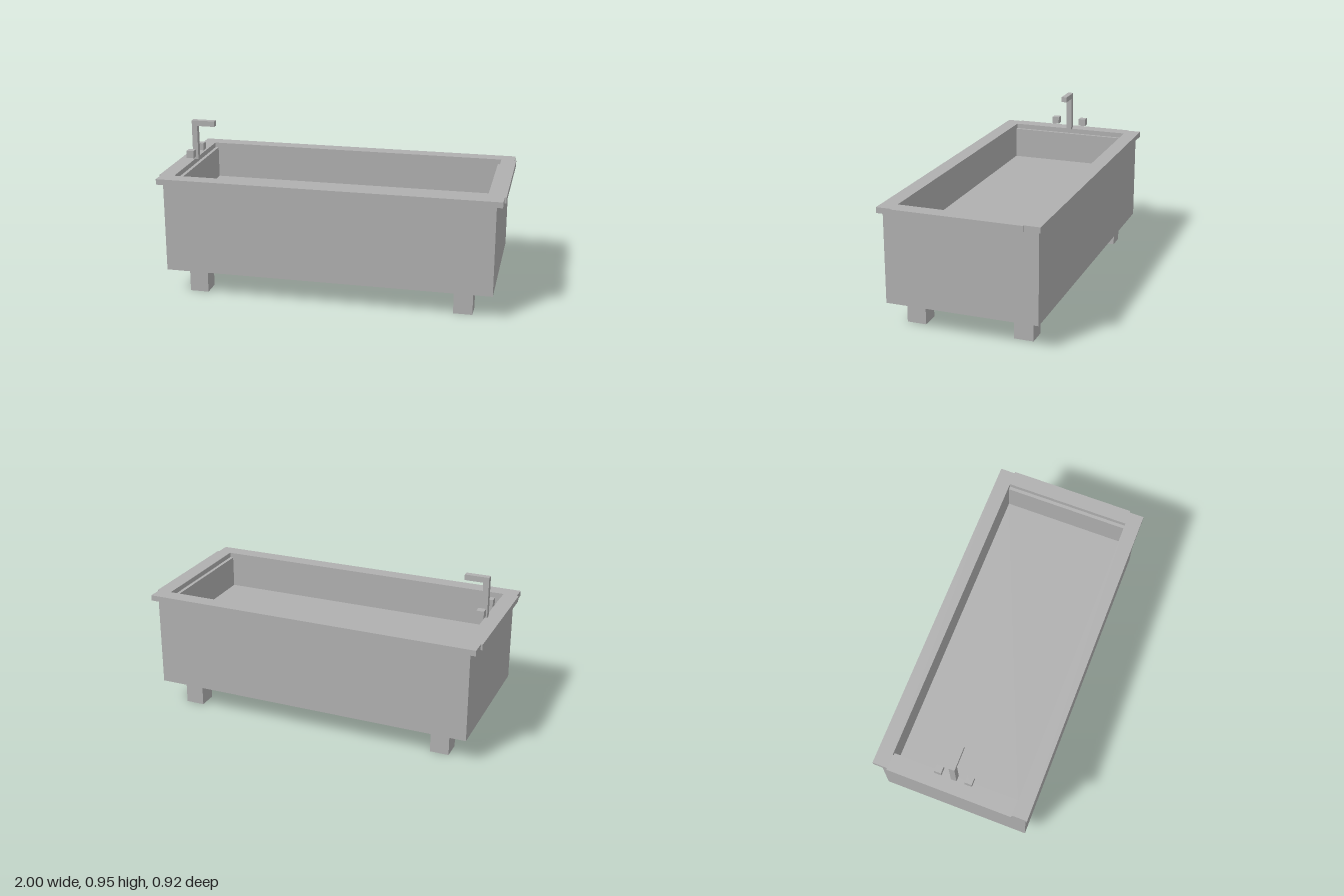
import * as THREE from 'three';

const grey = new THREE.MeshStandardMaterial({ color: 0xb0b0b0, side: THREE.DoubleSide });
grey.name = 'grey';

// Box given by its limits on each axis; hollow boxes have no underside
function box(name, [x0, x1], [y0, y1], [z0, z1], hollow = true) {
  const geometry = new THREE.BoxGeometry(x1 - x0, y1 - y0, z1 - z0);
  if (hollow) {
    const index = Array.from(geometry.index.array);
    index.splice(18, 6); // the downward face
    geometry.setIndex(index);
    geometry.clearGroups();
  }
  geometry.translate((x0 + x1) / 2, (y0 + y1) / 2, (z0 + z1) / 2);
  const mesh = new THREE.Mesh(geometry, grey);
  mesh.name = name;
  return mesh;
}

// Limits mirrored to the chosen side of an axis
const side = (s, a, b) => (s > 0 ? [a, b] : [-b, -a]);

export function createModel() {
  const tub = new THREE.Group();
  tub.name = 'bathtub';

  // Raised basin floor
  tub.add(box('basinFloor', [-0.89, 0.89], [0.15, 0.49], [-0.372, 0.372], false));

  for (const s of [-1, 1]) {
    // Long walls and end walls
    tub.add(box('sideWall', [-0.955, 0.955], [0.15, 0.68], side(s, 0.372, 0.44)));
    tub.add(box('endWall', side(s, 0.89, 0.955), [0.15, 0.68], [-0.372, 0.372]));

    // Overhanging rim
    tub.add(box('sideRim', [-0.99, 0.99], [0.677, 0.71], side(s, 0.372, 0.46)));
    tub.add(box('endRim', side(s, 0.91, 1), [0.677, 0.71], [-0.372, 0.372]));

    // Feet
    for (const t of [-1, 1]) {
      tub.add(box('foot', side(s, 0.73, 0.84), [0, 0.15], side(t, 0.26, 0.372)));
    }

    // Tap handles
    tub.add(box('tapHandle', [-0.927, -0.883], [0.743, 0.787], side(s, 0.069, 0.112)));
  }

  // Tap
  tub.add(box('tapColumn', [-0.921, -0.888], [0.71, 0.918], [-0.017, 0.017]));
  tub.add(box('tapSpout', [-0.921, -0.78], [0.918, 0.951], [-0.017, 0.017]));
  return tub;
}
